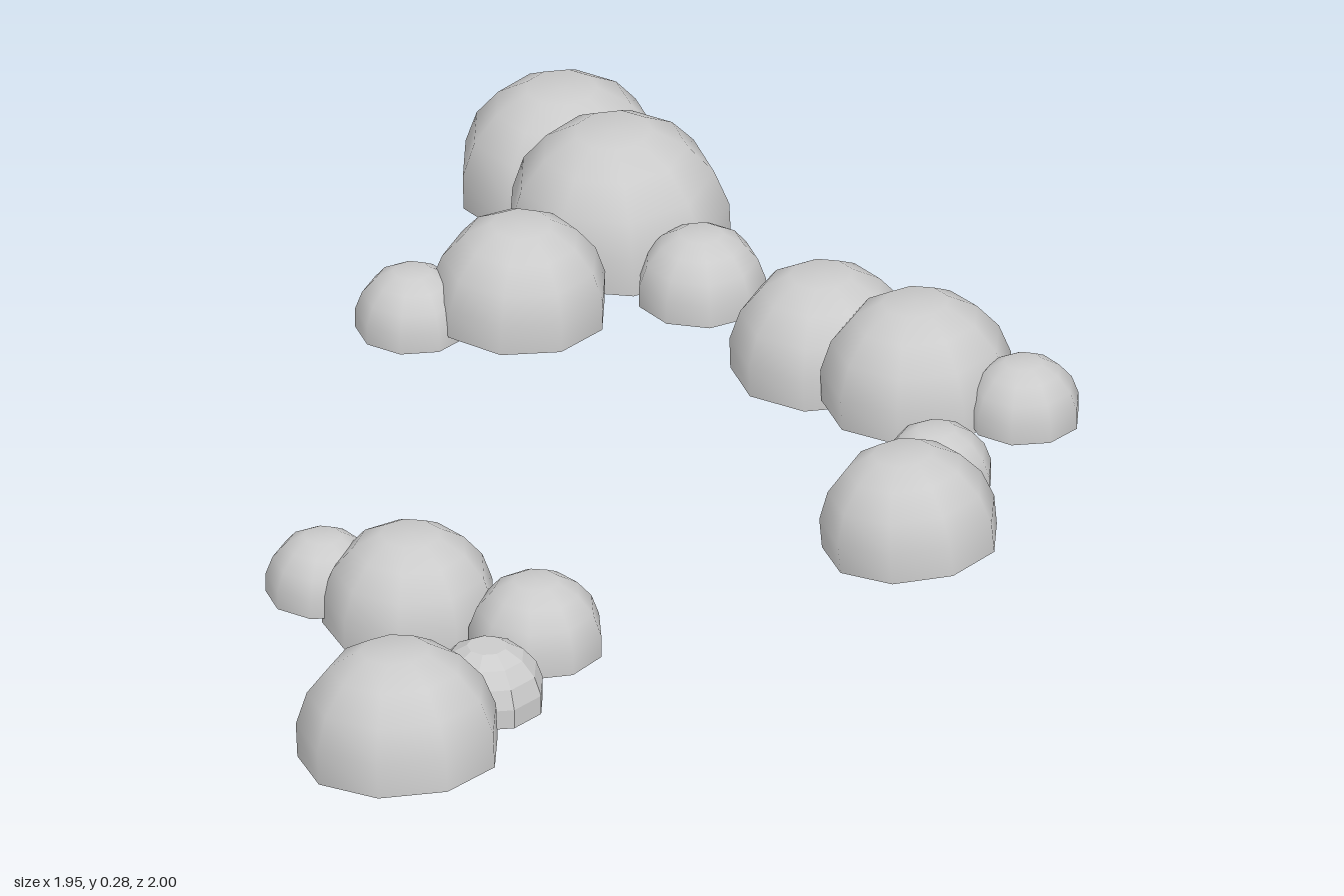
import * as THREE from 'three';

const deg = Math.PI / 180;

// Unit dome: sphere rings every 20 degrees, flat cap, open underneath
const profile = [100, 80, 60, 40, 20].map((a) => new THREE.Vector2(
  Math.sin(a * deg), Math.cos(a * deg) - Math.cos(100 * deg)));
profile.push(new THREE.Vector2(0, profile[4].y));
const domeGeometry = new THREE.LatheGeometry(profile, 9);

// Each bush: x, base y, z, radius, yaw, tilt x, tilt z (degrees)
const clusters = {
  backRightBushes: [
    [-0.785, 0.018, -0.795, 0.198, 20, 1.5, 0],
    [-0.53, 0.05, -0.725, 0.212, 20, 3, 0],
    [-0.27, 0.045, -0.717, 0.122, 20, 0, 0],
    [-0.367, 0.092, -0.367, 0.168, 0, 0, -2],
    [-0.475, 0.067, -0.2, 0.108, 0, 0, 0],
  ],
  backLeftBushes: [
    [0.03, 0.01, -0.772, 0.176, 0, 1, 1],
    [0.278, 0.04, -0.803, 0.184, 0, 1, 2],
    [0.475, 0.055, -0.895, 0.108, 0, 0, 0],
    [0.585, 0.06, -0.605, 0.108, 0, 0, 0],
    [0.71, 0.047, -0.45, 0.169, 0, 3, 4],
  ],
  frontLeftBushes: [
    [0.447, 0.095, 0.52, 0.166, 4, 0, 0],
    [0.283, 0.11, 0.597, 0.108, 0, 0, 0],
    [0.677, 0.1, 0.403, 0.128, 5, 0, 0],
    [0.75, 0.072, 0.575, 0.11, 0, 0, 0, true],
    [0.79, 0.062, 0.81, 0.193, 0, 0, 4],
  ],
};

export function createModel() {
  const model = new THREE.Group();
  model.name = 'bushes';
  const smooth = new THREE.MeshStandardMaterial({ color: 0xcccccc, side: THREE.DoubleSide });
  const faceted = smooth.clone();
  faceted.flatShading = true;

  for (const [name, bushes] of Object.entries(clusters)) {
    const cluster = new THREE.Group();
    cluster.name = name;
    for (const [x, y, z, r, yaw, tiltX, tiltZ, flat] of bushes) {
      const bush = new THREE.Mesh(domeGeometry, flat ? faceted : smooth);
      bush.name = 'bush';
      bush.position.set(x, y, z);
      bush.scale.setScalar(r);
      bush.rotation.set(tiltX * deg, yaw * deg, tiltZ * deg, 'XZY');
      cluster.add(bush);
    }
    model.add(cluster);
  }
  return model;
}
